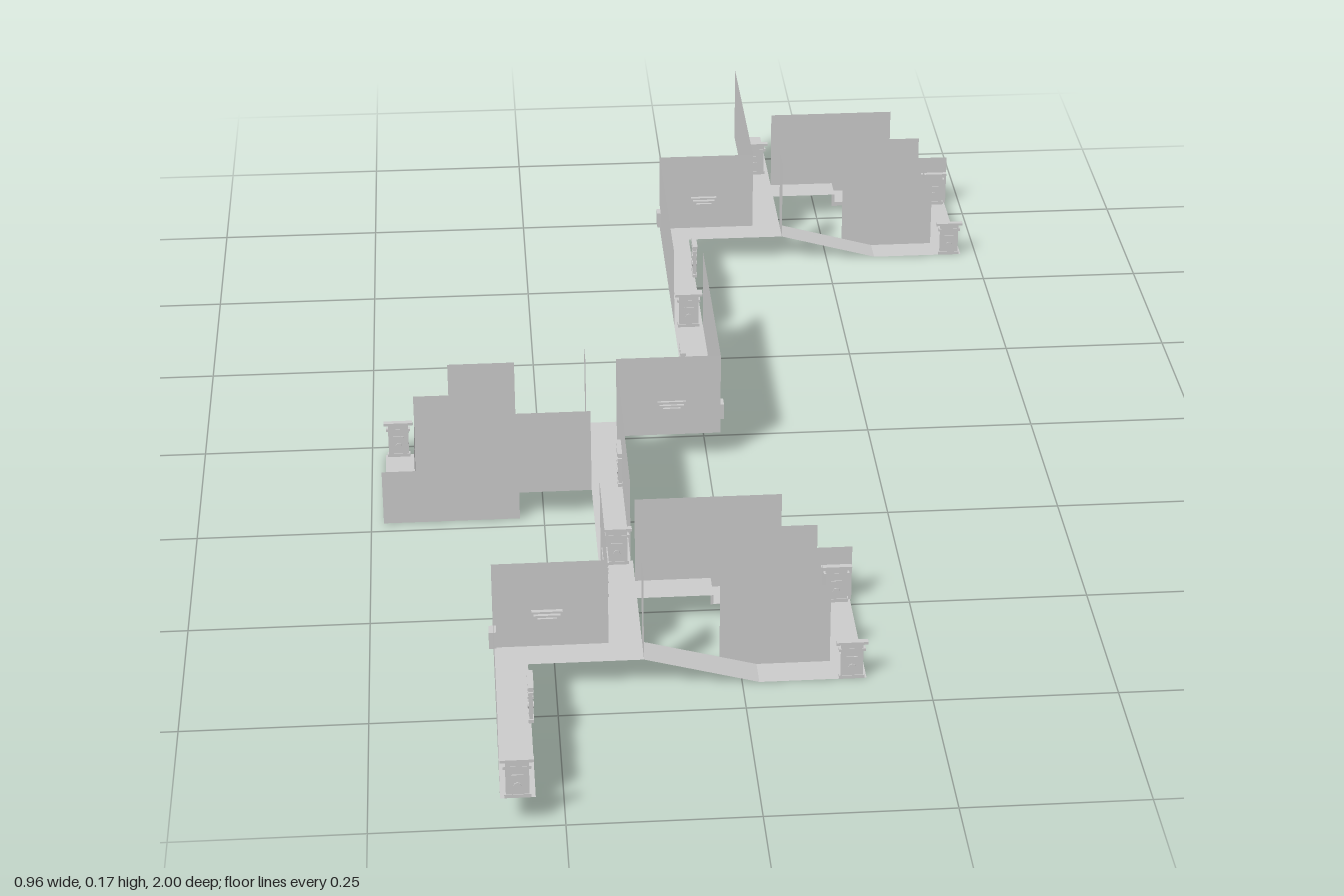
import * as THREE from 'three';

const mat = new THREE.MeshStandardMaterial({ color: 0xcccccc, flatShading: true, side: THREE.DoubleSide });
const LOW = 0, UP = 0.043, TOP = 0.173;

function add(parent, geometry, name) {
  const mesh = new THREE.Mesh(geometry, mat);
  mesh.name = name;
  parent.add(mesh);
  return mesh;
}

// Strip of floor along x, with a height at each end (sloped for a ramp)
function floor(parent, x0, x1, z0, z1, y0, y1 = y0, name = 'floor') {
  const g = new THREE.BufferGeometry();
  g.setAttribute('position', new THREE.Float32BufferAttribute(
    [x0, y0, z0, x0, y0, z1, x1, y1, z1, x1, y1, z0], 3));
  g.setIndex([0, 1, 2, 0, 2, 3]);
  g.computeVertexNormals();
  add(parent, g, name);
}

// Upright thin wall facing z, from an outline in x and y
function wallZ(parent, outline, z, name) {
  const shape = new THREE.Shape(outline.map(([x, y]) => new THREE.Vector2(x, y)));
  add(parent, new THREE.ShapeGeometry(shape), name).position.z = z;
}

// Upright thin rectangular wall facing x
function wallX(parent, x, z0, z1, y0, y1, name) {
  const m = add(parent, new THREE.PlaneGeometry(z1 - z0, y1 - y0), name);
  m.rotation.y = Math.PI / 2;
  m.position.set(x, (y0 + y1) / 2, (z0 + z1) / 2);
}

// Small pedestal door: slab, foot, layered cap, boss and plates
function gate(parent, x, y, z, turn = 0) {
  const g = new THREE.Group();
  g.name = 'gate';
  const box = (w, h, d, py, name) =>
    add(g, new THREE.BoxGeometry(w, h, d), name).position.y = py;
  box(0.03, 0.044, 0.005, 0.022, 'gateSlab');
  box(0.034, 0.005, 0.007, 0.0025, 'gateFoot');
  box(0.036, 0.004, 0.007, 0.045, 'gateCapLower');
  box(0.03, 0.006, 0.006, 0.05, 'gateNeck');
  box(0.043, 0.004, 0.008, 0.055, 'gateCap');
  const boss = add(g, new THREE.CylinderGeometry(0.005, 0.005, 0.008, 8), 'gateBoss');
  boss.rotation.x = Math.PI / 2;
  boss.position.y = 0.018;
  box(0.016, 0.003, 0.008, 0.033, 'gatePlate');
  g.position.set(x, y, z);
  g.rotation.y = turn;
  parent.add(g);
}

// One section: entry corridor, cross corridor with lowered loop, exit corridor
function section(startZ, withStartGate) {
  const s = new THREE.Group();
  s.name = 'corridorSection';

  // Floors
  floor(s, 0.13, 0.175, startZ, -0.64, UP, UP, 'entryFloor');
  floor(s, -0.025, 0.175, -0.64, -0.595, UP, UP, 'crossFloor');
  floor(s, 0.175, 0.33, -0.64, -0.595, UP, LOW, 'ramp');
  floor(s, 0.33, 0.475, -0.64, -0.595, LOW, LOW, 'lowerFloor');
  floor(s, 0.43, 0.475, -0.798, -0.64, LOW, LOW, 'loopEndFloor');
  floor(s, -0.025, 0.02, -0.595, -0.2855, UP, UP, 'exitFloor');

  // Steps on the far side of the loop
  const edges = [0.175, 0.28, 0.33, 0.36, 0.43];
  const heights = [UP, 0.029, 0.014, LOW];
  heights.forEach((y, i) => {
    floor(s, edges[i], edges[i + 1], -0.798, -0.752, y, y, 'stepTread');
    if (i) wallX(s, edges[i], -0.798, -0.752, y, heights[i - 1], 'stepRiser');
  });

  // Walls
  wallX(s, 0.13, startZ, -0.64, UP, TOP, 'entryWall');
  wallZ(s, [[-0.025, UP], [0.13, UP], [0.13, TOP], [-0.025, TOP]], -0.64, 'crossWall');
  wallX(s, -0.025, -0.64, -0.2855, UP, TOP, 'exitWall');
  wallX(s, 0.175, -0.64, -0.595, UP, TOP, 'rampDoor');
  wallZ(s, [[0.175, UP], [0.28, UP], [0.28, LOW], [0.477, LOW], [0.477, 0.085], [0.428, 0.085],
    [0.428, 0.122], [0.378, 0.122], [0.378, TOP], [0.175, TOP]], -0.798, 'steppedOuterWall');
  wallZ(s, [[0.28, LOW], [0.43, LOW], [0.43, 0.122], [0.378, 0.122], [0.378, TOP], [0.28, TOP]],
    -0.64, 'steppedInnerWall');
  wallX(s, 0.43, -0.752, -0.64, LOW, 0.085, 'innerEndWall');

  // Gates at the loop corners, on open floor edges and in the corridors
  gate(s, 0.455, LOW, -0.598);
  gate(s, 0.455, LOW, -0.794);
  gate(s, 0.02, UP, -0.47, Math.PI / 2);
  gate(s, 0.133, UP, -0.775, Math.PI / 2);
  gate(s, -0.0025, UP, -0.289);
  if (withStartGate) gate(s, 0.152, UP, -0.847);

  // Shelf on the cross wall and a small lever at its corner
  [[0.042, 0.098], [0.036, 0.092], [0.026, 0.087]].forEach(([w, y]) =>
    add(s, new THREE.BoxGeometry(w, 0.003, 0.01), 'shelf').position.set(0.048, y, -0.639));
  add(s, new THREE.BoxGeometry(0.01, 0.025, 0.018), 'lever').position.set(-0.026, 0.072, -0.62);
  return s;
}

export function createModel() {
  const model = new THREE.Group();
  model.name = 'corridors';
  const first = section(-1, true);
  // The middle section is turned half round and joins the first
  const second = section(-1, false);
  second.rotation.y = Math.PI;
  second.position.set(-0.005, 0, -0.571);
  const third = section(-0.853, true);
  third.position.set(-0.307, 0, 1.283);
  model.add(first, second, third);
  return model;
}
